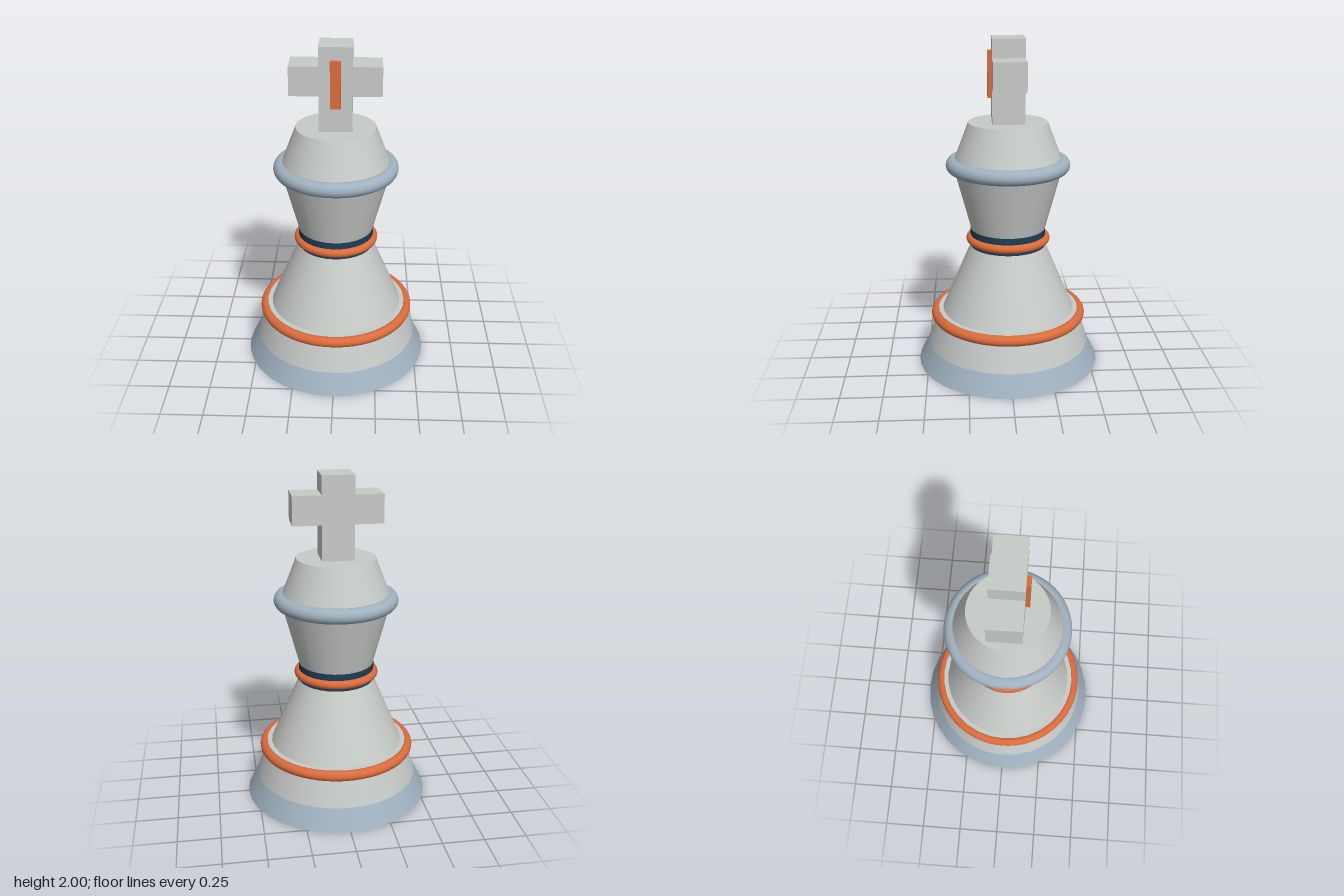
import * as THREE from 'three';

const material = (name, color) => {
  const m = new THREE.MeshStandardMaterial({ color });
  m.name = name;
  return m;
};

export function createModel() {
  const model = new THREE.Group();
  model.name = 'kingChessPiece';
  const stone = material('pale grey', 0xc8ccc9);
  const steel = material('blue grey', 0xa0b1bf);
  const copper = material('burnt orange', 0xda6c3c);
  const navy = material('dark navy', 0x1f3d54);

  const add = (name, geometry, mat, x = 0, y = 0, z = 0) => {
    const mesh = new THREE.Mesh(geometry, mat);
    mesh.name = name;
    mesh.position.set(x, y, z);
    model.add(mesh);
    return mesh;
  };
  // Closed round section between two heights
  const section = (name, r0, y0, r1, y1, mat) =>
    add(name, new THREE.CylinderGeometry(r1, r0, y1 - y0, 32), mat, 0, (y0 + y1) / 2);
  // Horizontal ring
  const ring = (name, radius, tube, y, mat) =>
    add(name, new THREE.TorusGeometry(radius, tube, 16, 64).rotateX(Math.PI / 2), mat, 0, y);

  // Stepped base and tapering body
  section('foot', 0.56, 0, 0.497, 0.125, steel);
  section('plinth', 0.497, 0.125, 0.432, 0.342, stone);
  section('body', 0.405, 0.34, 0.225, 0.76, stone);
  section('collar', 0.228, 0.75, 0.228, 0.86, navy);
  section('neck', 0.225, 0.86, 0.328, 1.25, stone);
  section('head', 0.335, 1.25, 0.235, 1.51, stone);

  // Decorative rings
  ring('baseRing', 0.445, 0.031, 0.312, copper);
  ring('collarRing', 0.228, 0.026, 0.795, copper);
  ring('crownRing', 0.325, 0.045, 1.255, steel);

  // Cross on top
  const w = 0.095, a = 0.262, low = 1.72, high = 1.89;
  const outline = [
    [-w, 1.51], [w, 1.51], [w, low], [a, low], [a, high], [w, high],
    [w, 2], [-w, 2], [-w, high], [-a, high], [-a, low], [-w, low],
  ].map(([x, y]) => new THREE.Vector2(x, y));
  const cross = new THREE.ExtrudeGeometry(new THREE.Shape(outline), { depth: 2 * w, bevelEnabled: false });
  add('cross', cross, stone, 0, 0, -w);
  add('crossInlay', new THREE.BoxGeometry(0.06, 0.27, 0.025), copper, 0, 1.79, w + 0.0125);

  return model;
}
